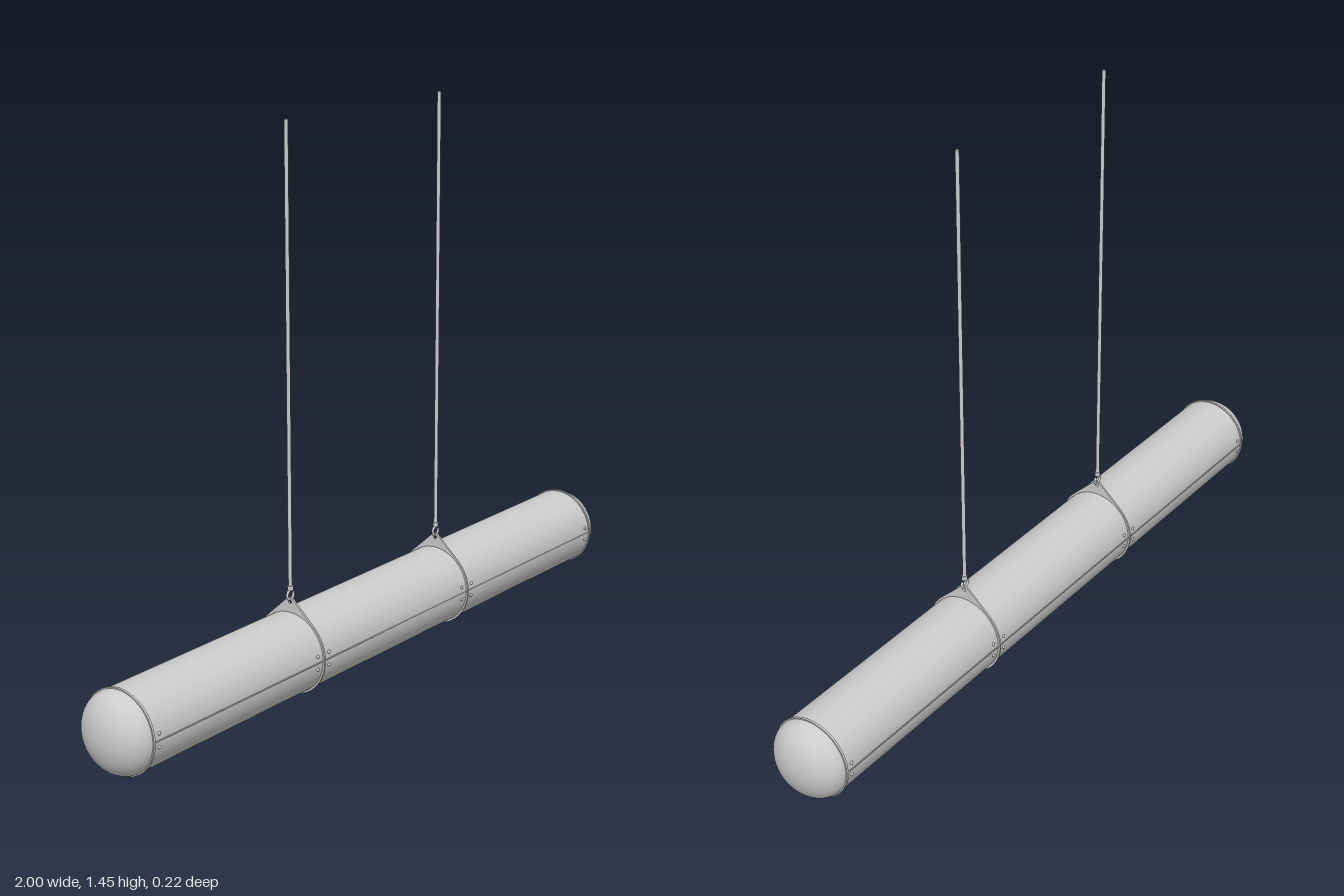
import * as THREE from 'three';

const material = new THREE.MeshStandardMaterial({ color: 0xcccccc });
const CY = 0.11;      // height of the tube axis
const R = 0.105;      // tube radius
const HALF = 0.93;    // half length of the straight tube
const HANG = 0.31;    // x of the two hangers

function add(parent, name, geometry, x = 0, y = 0, z = 0) {
  const mesh = new THREE.Mesh(geometry, material);
  mesh.name = name;
  mesh.position.set(x, y, z);
  parent.add(mesh);
  return mesh;
}

// Clamp plate: a thin ring whose top rises along tangents to a lug
function clampGeometry() {
  const r = 0.11, tip = 0.145, t = 0.005;
  const a = Math.asin(r / tip);
  const shape = new THREE.Shape();
  shape.absarc(0, 0, r, Math.PI - a, a, false);
  shape.lineTo(0.008, tip - 0.003);
  shape.quadraticCurveTo(0, tip + 0.003, -0.008, tip - 0.003);
  shape.closePath();
  shape.holes.push(new THREE.Path().absarc(0, 0, R - 0.002, 0, Math.PI * 2, true));
  shape.holes.push(new THREE.Path().absarc(0, 0.133, 0.005, 0, Math.PI * 2, true));
  const g = new THREE.ExtrudeGeometry(shape, { depth: t, bevelEnabled: false, curveSegments: 48 });
  return g.translate(0, 0, -t / 2).rotateY(Math.PI / 2);
}

// Rod with a ferrule and an open hook through the lug hole
function createHanger(x) {
  const hanger = new THREE.Group();
  hanger.name = 'hanger';
  hanger.position.x = x;
  add(hanger, 'clamp', clampGeometry(), 0, CY, 0);
  add(hanger, 'rod', new THREE.CylinderGeometry(0.005, 0.005, 1.175, 16), 0, 0.8625, 0);
  add(hanger, 'ferrule', new THREE.CylinderGeometry(0.0075, 0.0075, 0.012, 16), 0, 0.279, 0);
  const hook = add(hanger, 'hook', new THREE.TorusGeometry(0.012, 0.0035, 10, 32, Math.PI * 1.75), 0, 0.261, 0);
  hook.rotation.z = Math.PI * 0.5;
  return hanger;
}

export function createModel() {
  const model = new THREE.Group();
  model.name = 'hangingTubeLamp';

  // Tube body
  const tube = new THREE.CylinderGeometry(R, R, HALF * 2, 64, 1, true).rotateZ(Math.PI / 2);
  add(model, 'tube', tube, 0, CY, 0);

  const rivet = new THREE.SphereGeometry(0.0045, 12, 8);
  for (const side of [-1, 1]) {
    // Domed end cap
    const dome = new THREE.SphereGeometry(R, 64, 20, 0, Math.PI * 2, 0, Math.PI / 2);
    dome.scale(1, (1 - HALF) / R, 1).rotateZ(-side * Math.PI / 2);
    add(model, 'endCap', dome, side * HALF, CY, 0);

    // Collar between tube and cap
    const collar = new THREE.LatheGeometry([
      [R - 0.002, -0.003], [0.108, -0.003], [0.108, 0.003], [R - 0.002, 0.003],
    ].map(([r, y]) => new THREE.Vector2(r, y)), 64).rotateZ(Math.PI / 2);
    const ring = add(model, 'endCollar', collar, side * HALF, CY, 0);
    ring.material = new THREE.MeshStandardMaterial({ color: 0xcccccc, flatShading: true });

    // Seam strip along each side where the half shells meet
    add(model, 'seam', new THREE.BoxGeometry(HALF * 2, 0.003, 0.005), 0, CY, side * (R - 0.0005));

    // Rivets above and below the seam
    for (const x of [-0.91, -HANG - 0.022, -HANG + 0.022, HANG - 0.022, HANG + 0.022, 0.91])
      for (const dy of [-0.017, 0.017])
        add(model, 'rivet', rivet, x, CY + dy, side * Math.sqrt(R * R - dy * dy));

    model.add(createHanger(side * HANG));
  }
  return model;
}
